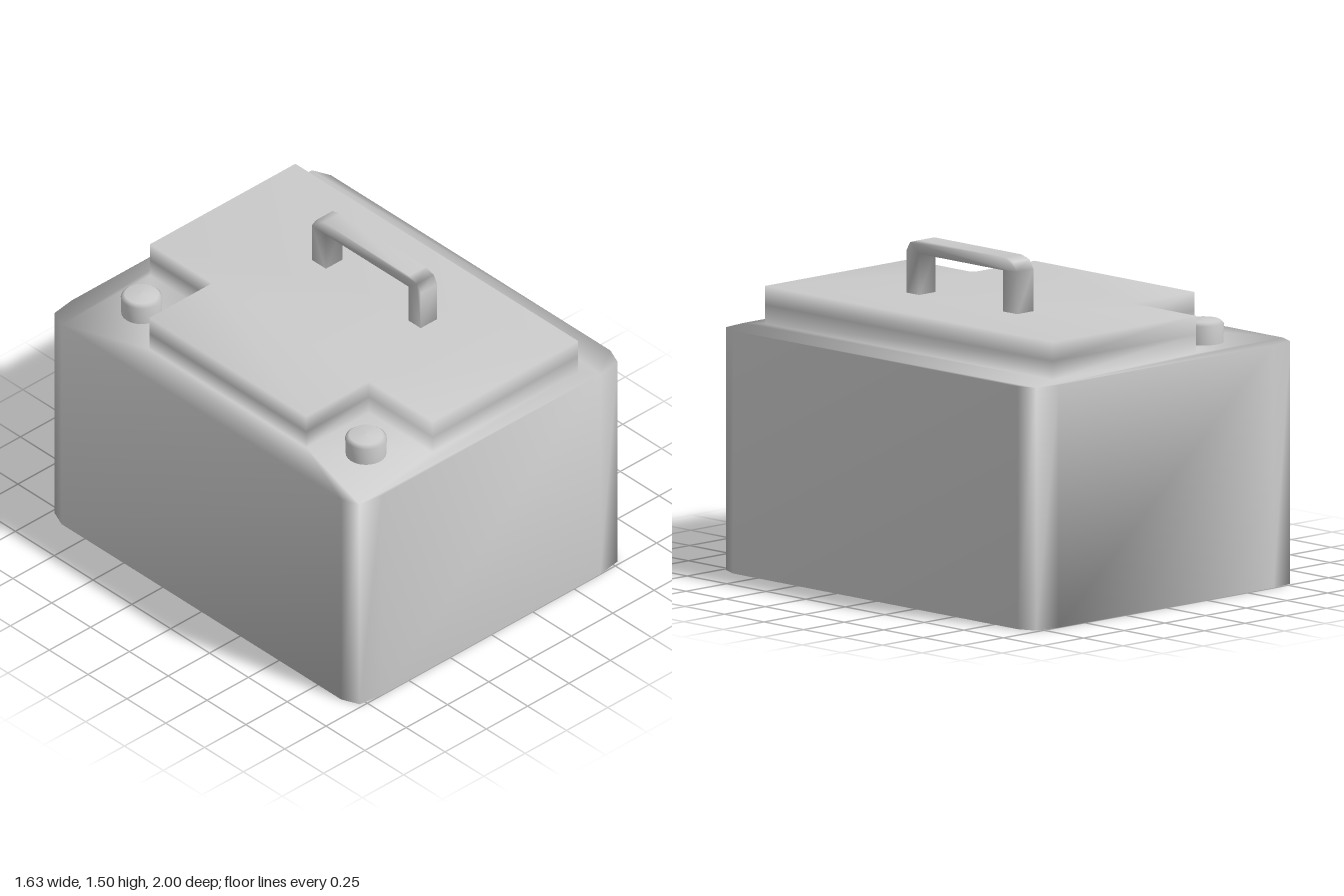
import * as THREE from 'three';
import { mergeGeometries, mergeVertices } from 'three/addons/utils/BufferGeometryUtils.js';

const grey = new THREE.MeshStandardMaterial({ color: 0xcccccc });

// Weld all shared corners so shading flows over every edge
function smooth(parts) {
  const bare = parts.map((p) => {
    const g = p.index ? p.toNonIndexed() : p;
    g.deleteAttribute('normal');
    g.deleteAttribute('uv');
    return g;
  });
  const g = mergeVertices(mergeGeometries(bare), 1e-4);
  g.computeVertexNormals();
  return g;
}

function mesh(name, geometry) {
  const m = new THREE.Mesh(geometry, grey);
  m.name = name;
  return m;
}

// Outlines are counter-clockwise [x, -z] points seen from above
const toVectors = (pts) => pts.map(([x, s]) => new THREE.Vector2(x, s));

// Upright wall around an outline
function wall(pts, y0, y1) {
  const pos = [];
  pts.forEach(([ax, as], i) => {
    const [bx, bs] = pts[(i + 1) % pts.length];
    pos.push(ax, y0, -as, bx, y0, -bs, bx, y1, -bs, ax, y0, -as, bx, y1, -bs, ax, y1, -as);
  });
  const g = new THREE.BufferGeometry();
  g.setAttribute('position', new THREE.Float32BufferAttribute(pos, 3));
  return g;
}

// Flat face, optionally with a hole or facing down
function cap(pts, y, { hole = null, down = false } = {}) {
  const shape = new THREE.Shape(toVectors(pts));
  if (hole) shape.holes.push(new THREE.Path(toVectors(hole)));
  const g = new THREE.ShapeGeometry(shape);
  if (down) g.setIndex(Array.from(g.index.array).reverse());
  return g.rotateX(-Math.PI / 2).translate(0, y, 0);
}

export function createModel() {
  const group = new THREE.Group();

  // Case with bevelled corners and a stepped lid notched around the terminals
  const corner = [[0.815, 0.9], [0.78, 0.983], [0.66, 1]];
  const outline = [[1, 1], [-1, 1], [-1, -1], [1, -1]].flatMap(([sx, ss]) => {
    const c = corner.map(([x, s]) => [x * sx, s * ss]);
    return sx * ss > 0 ? c : c.reverse();
  });
  const lid = [
    [0.6, -0.92], [0.6, 0.9], [-0.28, 0.9], [-0.28, 0.5],
    [-0.66, 0.5], [-0.66, -0.51], [-0.28, -0.51], [-0.28, -0.92],
  ];
  group.add(mesh('caseAndLid', smooth([
    cap(outline, 0, { down: true }),
    wall(outline, 0, 1.09),
    cap(outline, 1.09, { hole: lid }),
    wall(lid, 1.09, 1.175),
    wall(lid, 1.175, 1.26),
    cap(lid, 1.26),
  ])));

  // Carrying handle: a flat arch drawn in [z, y] and extruded across x
  const arch = new THREE.Shape(toVectors([
    [0.375, 1.25], [0.375, 1.45], [0.352, 1.49], [0.3, 1.505],
    [-0.25, 1.505], [-0.3, 1.49], [-0.325, 1.45], [-0.325, 1.25],
    [-0.235, 1.25], [-0.235, 1.445], [0.295, 1.445], [0.295, 1.25],
  ]));
  const handle = new THREE.ExtrudeGeometry(arch, { depth: 0.1, bevelEnabled: false });
  handle.rotateY(-Math.PI / 2).translate(0.26, 0, 0);
  group.add(mesh('handle', smooth([handle])));

  // Two round terminal posts
  const profile = toVectors([[0.09, 1.08], [0.092, 1.175], [0.075, 1.19], [0, 1.195]]);
  [['rearTerminal', -0.725], ['frontTerminal', 0.72]].forEach(([name, z]) => {
    const post = mesh(name, new THREE.LatheGeometry(profile, 24));
    post.position.set(-0.495, 0, z);
    group.add(post);
  });

  return group;
}
